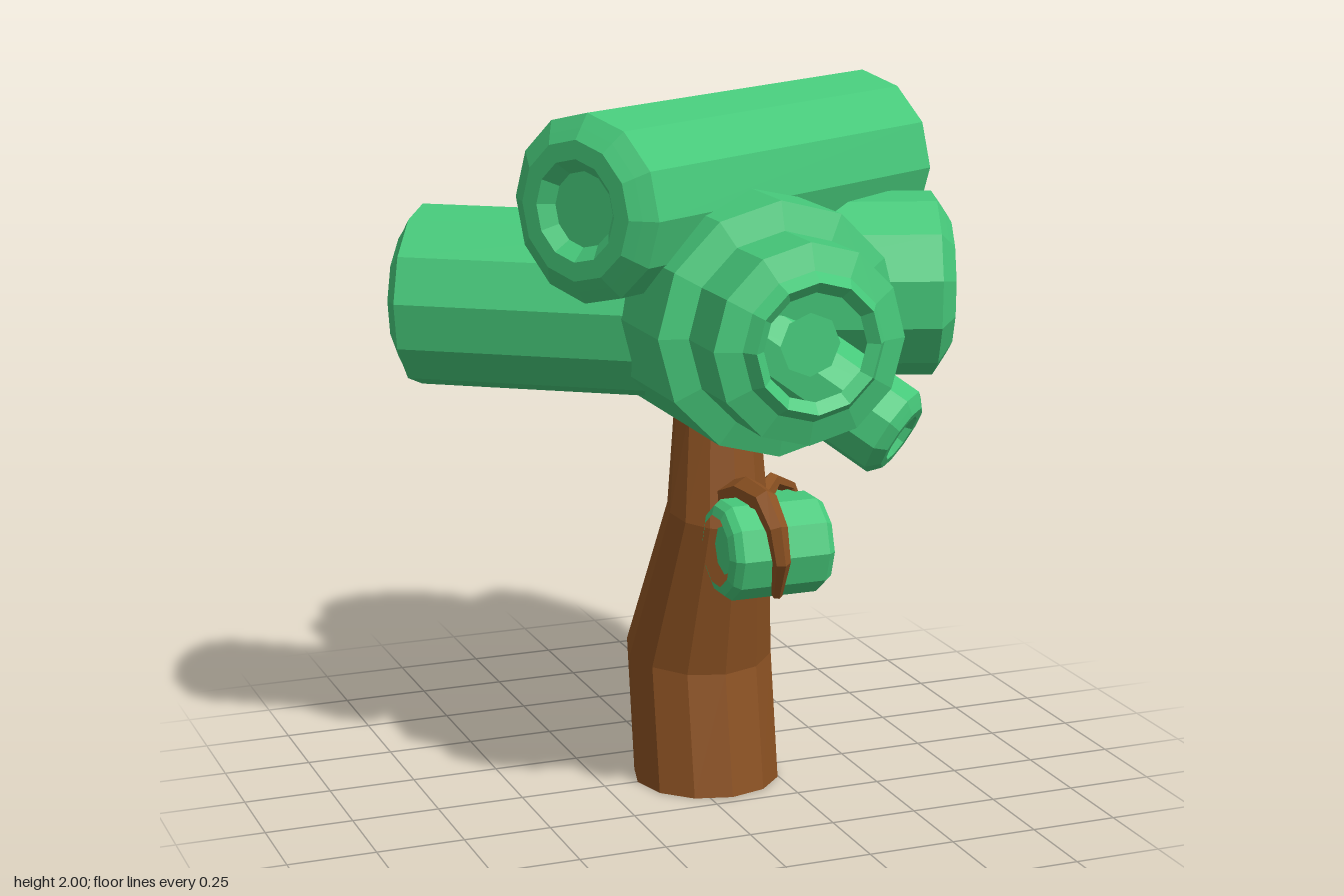
import * as THREE from 'three';

const leaf = new THREE.MeshStandardMaterial({ color: 0x46c87a });
leaf.name = 'leaf green';
const bark = new THREE.MeshStandardMaterial({ color: 0x8b5122 });
bark.name = 'bark brown';

const V = (a) => new THREE.Vector3(...a);
const UP = new THREE.Vector3(0, 1, 0);

// Faceted mesh: every face gets its own normal
function facet(geometry, material, name) {
  const g = geometry.index ? geometry.toNonIndexed() : geometry;
  g.computeVertexNormals();
  const mesh = new THREE.Mesh(g, material);
  mesh.name = name;
  return mesh;
}

// Foliage drum between two points. Each end is a list of [radius, distance past the body end].
function drum(name, from, to, r, sides, startEnd, stopEnd) {
  const a = V(from), b = V(to), h = a.distanceTo(b) / 2;
  const low = [...startEnd].reverse().map(([x, d]) => new THREE.Vector2(x, -h - d));
  const high = stopEnd.map(([x, d]) => new THREE.Vector2(x, h + d));
  const profile = [...low, new THREE.Vector2(r, -h), new THREE.Vector2(r, h), ...high];
  const mesh = facet(new THREE.LatheGeometry(profile, sides), leaf, name);
  mesh.position.copy(a).add(b).multiplyScalar(0.5);
  mesh.quaternion.setFromUnitVectors(UP, b.sub(a).normalize());
  return mesh;
}

// Chamfered end with a shallow dish, sized by the drum radius
const dished = (r, d = 0.045) => [
  [r * 0.86, d * 0.55], [r * 0.74, d], [r * 0.54, d], [r * 0.4, d * 0.2], [0, d * 0.2],
];
const closed = (r) => [[r * 0.86, 0.02], [r * 0.74, 0.04], [0, 0.04]];
const plain = [[0, 0]];

// Small plate floating in an open drum end
function plate(name, r, sides, position, direction) {
  const mesh = facet(new THREE.CircleGeometry(r, sides), leaf, name);
  mesh.position.set(...position);
  mesh.quaternion.setFromUnitVectors(new THREE.Vector3(0, 0, 1), V(direction));
  return mesh;
}

// Limb swept through rings of [x, y, z, radius]
function limb(name, rings, sides, firstDirection) {
  const centres = rings.map(([x, y, z]) => new THREE.Vector3(x, y, z));
  const position = [], index = [], n = rings.length;
  const q = new THREE.Quaternion();
  let previous = UP.clone();
  centres.forEach((c, i) => {
    const t = i === 0 && firstDirection
      ? V(firstDirection)
      : centres[Math.min(i + 1, n - 1)].clone().sub(centres[Math.max(i - 1, 0)]).normalize();
    q.premultiply(new THREE.Quaternion().setFromUnitVectors(previous, t));
    previous = t;
    for (let k = 0; k < sides; k++) {
      const u = (k / sides) * Math.PI * 2, r = rings[i][3];
      const p = new THREE.Vector3(Math.sin(u) * r, 0, Math.cos(u) * r).applyQuaternion(q).add(c);
      position.push(p.x, p.y, p.z);
    }
  });
  for (let i = 0; i < n - 1; i++) {
    for (let k = 0; k < sides; k++) {
      const a = i * sides + k, b = i * sides + (k + 1) % sides;
      index.push(a, b, b + sides, a, b + sides, a + sides);
    }
  }
  // End caps
  for (let k = 1; k < sides - 1; k++) {
    const e = (n - 1) * sides;
    index.push(0, k + 1, k, e, e + k, e + k + 1);
  }
  const g = new THREE.BufferGeometry();
  g.setAttribute('position', new THREE.Float32BufferAttribute(position, 3));
  g.setIndex(index);
  return facet(g, bark, name);
}

export function createModel() {
  const tree = new THREE.Group();
  tree.name = 'tree';

  // Bent trunk
  tree.add(limb('trunk', [
    [0.063, 0, 0.003, 0.212], [0.063, 0.375, -0.055, 0.212],
    [0.06, 0.83, 0.1, 0.145], [0.065, 1.13, 0.075, 0.12],
  ], 12, [0, 1, 0]));

  // Hooked branches that hold the small drums
  tree.add(limb('frontBranch', [
    [0.06, 0.86, 0.16, 0.06], [0.06, 0.93, 0.32, 0.045], [0.055, 0.94, 0.46, 0.035],
    [0.06, 0.88, 0.53, 0.03], [0.07, 0.79, 0.54, 0.025], [0.08, 0.68, 0.485, 0.015],
  ], 6));
  tree.add(limb('sideBranch', [
    [0.13, 0.72, 0.07, 0.05], [0.24, 0.8, -0.03, 0.035], [0.32, 0.83, -0.12, 0.025],
    [0.4, 0.79, -0.18, 0.02], [0.445, 0.69, -0.19, 0.017], [0.39, 0.585, -0.17, 0.01],
  ], 6));

  // Main drum, stepped and open at both ends
  const open = [[0.27, 0.025], [0.27, 0.2], [0.2, 0.225], [0.175, 0.26], [0.145, 0.235]];
  tree.add(drum('mainFoliage', [0.065, 1.43, -0.53], [0.065, 1.43, 0.53], 0.347, 12, open, open));
  for (const s of [-1, 1]) {
    tree.add(plate('mainFoliagePlate', 0.085, 8, [0.065, 1.43, s * 0.73], [0, 0, s]));
  }

  // Large drums above and to the sides
  tree.add(drum('topFoliage', [-0.395, 1.745, 0.295], [0.655, 1.745, -0.275], 0.256, 12,
    dished(0.256), dished(0.256)));
  tree.add(drum('rightFoliage', [-0.05, 1.42, 0.1], [-0.67, 1.42, -0.325], 0.256, 12,
    plain, closed(0.256)));
  tree.add(drum('leftFoliage', [0.1, 1.435, -0.09], [0.71, 1.435, 0.112], 0.262, 12,
    plain, dished(0.262)));

  // Small drum drooping at the front left
  tree.add(drum('lowerFoliage', [0.17, 1.32, 0.09], [0.47, 1.08, 0.38], 0.135, 10,
    plain, dished(0.135, 0.03)));

  // Small drum on the front branch, open at both ends
  const smallOpen = [[0.125, 0.02], [0.1, 0.03]];
  tree.add(drum('frontBranchFoliage', [-0.025, 0.79, 0.375], [0.225, 0.79, 0.375], 0.14, 10,
    smallOpen, smallOpen));
  for (const s of [-1, 1]) {
    tree.add(plate('frontBranchPlate', 0.07, 8, [0.1 + s * 0.13, 0.79, 0.375], [s, 0, 0]));
  }

  // Small drum on the side branch
  tree.add(drum('sideBranchFoliage', [0.315, 0.685, -0.26], [0.37, 0.685, -0.08], 0.11, 10,
    dished(0.11, 0.03), dished(0.11, 0.03)));

  return tree;
}
